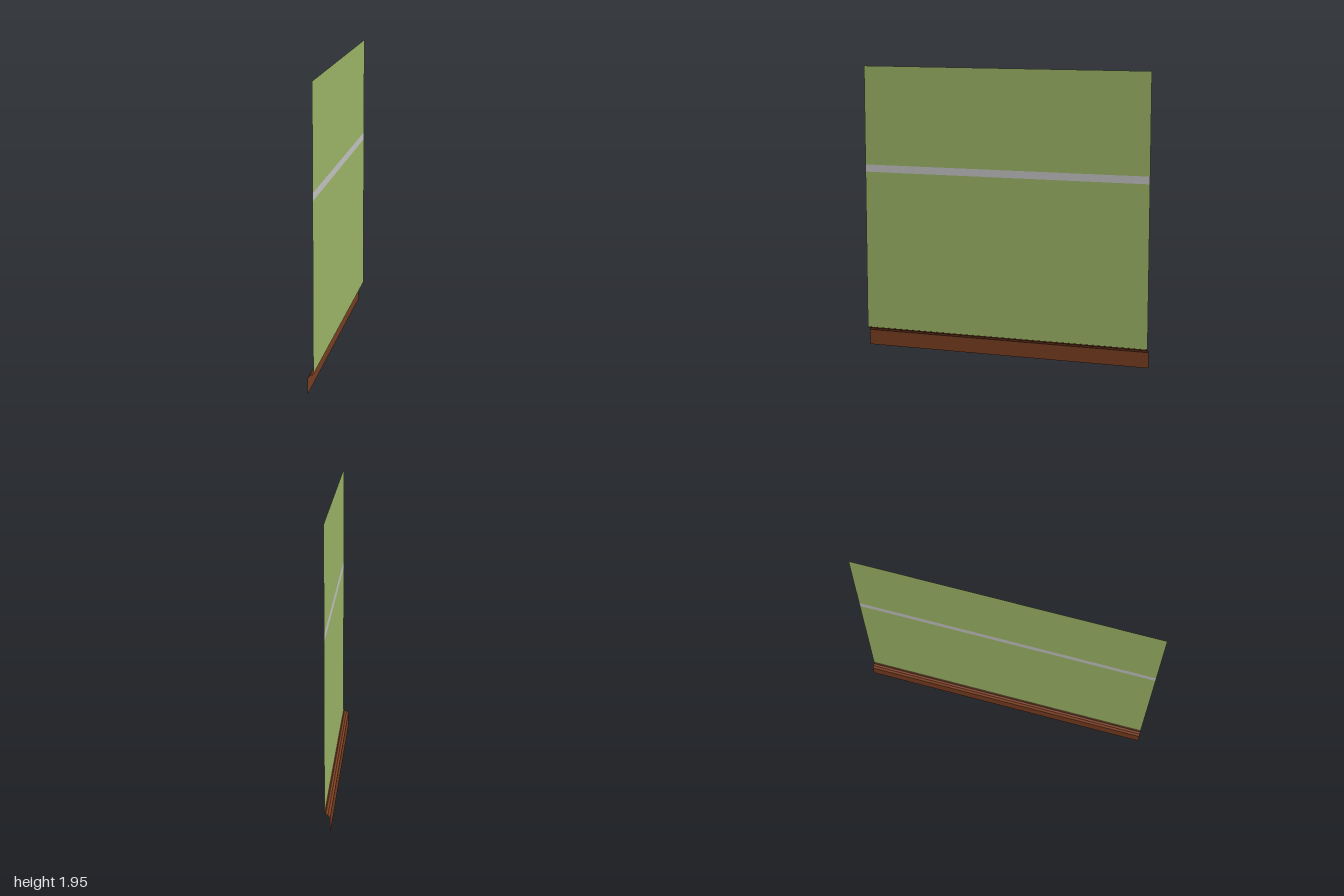
import * as THREE from 'three';

const HALF_LENGTH = 1;
const WALL_X = 0.018;

function makeMaterial(name, color) {
  const material = new THREE.MeshStandardMaterial({ color, side: THREE.DoubleSide });
  material.name = name;
  return material;
}

// Sweeps an open [x, y] profile (bottom to top) along z, facing -x, with crisp edges
function sweptPanel(name, profile, material) {
  const positions = [];
  for (let i = 0; i < profile.length - 1; i++) {
    const [x0, y0] = profile[i];
    const [x1, y1] = profile[i + 1];
    const a = [x0, y0, -HALF_LENGTH], b = [x0, y0, HALF_LENGTH];
    const c = [x1, y1, HALF_LENGTH], d = [x1, y1, -HALF_LENGTH];
    positions.push(...a, ...b, ...c, ...a, ...c, ...d);
  }
  const geometry = new THREE.BufferGeometry();
  geometry.setAttribute('position', new THREE.Float32BufferAttribute(positions, 3));
  geometry.computeVertexNormals();
  const mesh = new THREE.Mesh(geometry, material);
  mesh.name = name;
  return mesh;
}

export function createModel() {
  const group = new THREE.Group();
  group.name = 'wallPanel';

  const green = makeMaterial('green paint', 0xa0b96a);
  const grey = makeMaterial('light grey stripe', 0xc8c8c8);
  const brown = makeMaterial('brown wood', 0x7b3f22);

  // Flat wall in three flush bands
  const band = (name, y0, y1, material) =>
    group.add(sweptPanel(name, [[WALL_X, y0], [WALL_X, y1]], material));
  band('lowerWall', 0.134, 1.225, green);
  band('wallStripe', 1.225, 1.275, grey);
  band('upperWall', 1.275, 1.95, green);

  // Skirting board: flat face, sloped shoulder and small lip meeting the wall
  group.add(sweptPanel('baseboard', [
    [-0.018, 0], [-0.018, 0.105], [-0.008, 0.113], [-0.004, 0.12],
    [0.01, 0.123], [0.013, 0.132], [WALL_X, 0.134],
  ], brown));

  return group;
}
